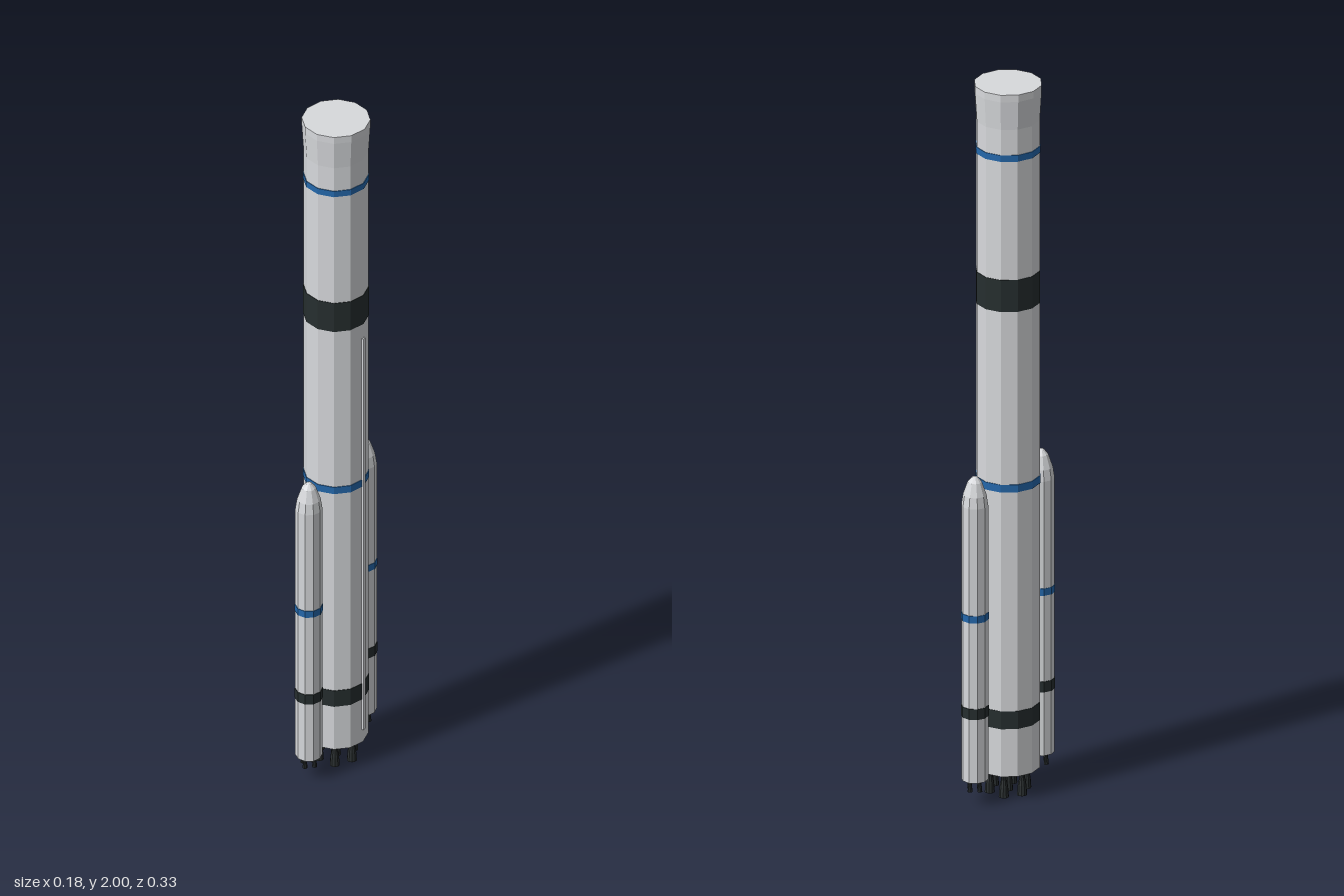
import * as THREE from 'three';

const flat = (name, color) => {
  const m = new THREE.MeshStandardMaterial({ color, flatShading: true });
  m.name = name;
  return m;
};

export function createModel() {
  const white = flat('hull white', 0xd8dadd);
  const blue = flat('stripe blue', 0x2468ac);
  const black = flat('band black', 0x262e2f);
  const dark = flat('engine dark', 0x2a2f30);

  const root = new THREE.Group();
  root.name = 'rocket';

  const add = (parent, name, geo, mat, x = 0, y = 0, z = 0) => {
    const m = new THREE.Mesh(geo, mat);
    m.name = name;
    m.position.set(x, y, z);
    parent.add(m);
    return m;
  };
  // Revolved solid from [radius, height] pairs, listed bottom to top
  const lathe = (pts, sides) =>
    new THREE.LatheGeometry(pts.map(([r, y]) => new THREE.Vector2(r, y)), sides);
  // Thin band wrapped around a hull
  const band = (parent, name, r, y0, y1, sides, mat) =>
    add(parent, name, new THREE.CylinderGeometry(r, r, y1 - y0, sides), mat, 0, (y0 + y1) / 2, 0);

  // Core stage with flared top
  const core = new THREE.Group();
  core.name = 'coreStage';
  root.add(core);
  add(core, 'coreHull', lathe([[0, 0.07], [0.085, 0.07], [0.085, 1.9], [0.09, 1.98], [0.09, 2], [0, 2]], 12), white);
  band(core, 'upperStripe', 0.0868, 1.81, 1.828, 12, blue);
  band(core, 'interstageBand', 0.0862, 1.385, 1.475, 12, black);
  band(core, 'middleStripe', 0.0868, 0.875, 0.896, 12, blue);
  band(core, 'lowerBand', 0.0862, 0.205, 0.255, 12, black);

  // Cable duct along the left side
  add(core, 'cableDuct', new THREE.BoxGeometry(0.012, 1.23, 0.01), white, 0.083, 0.725, 0);

  // Engine bell with a narrow neck, hanging from y = 0
  const bell = (r, h) => lathe([
    [0, -h * 0.9], [r, -h], [r * 0.85, -h * 0.6], [r * 0.55, -h * 0.3], [r * 0.5, 0], [0, 0],
  ], 10);

  // Seven core engines: one in the middle, six around it
  const coreBell = bell(0.0135, 0.07);
  add(core, 'coreEngine', coreBell, dark, 0, 0.07, 0);
  for (let i = 0; i < 6; i++) {
    const a = (i * Math.PI) / 3;
    add(core, 'coreEngine', coreBell, dark, 0.05 * Math.cos(a), 0.07, 0.05 * Math.sin(a));
  }

  // Two side boosters, front and back
  const hull = lathe([
    [0, 0.07], [0.0355, 0.07], [0.0355, 0.845], [0.031, 0.875], [0.019, 0.91], [0.008, 0.923], [0, 0.926],
  ], 10);
  const boosterBell = bell(0.0065, 0.032);
  for (const side of [1, -1]) {
    const booster = new THREE.Group();
    booster.name = side > 0 ? 'frontBooster' : 'backBooster';
    booster.position.z = side * 0.128;
    booster.rotation.y = side * Math.PI / 2;
    root.add(booster);
    add(booster, 'boosterHull', hull, white);
    band(booster, 'boosterStripe', 0.0368, 0.523, 0.543, 10, blue);
    band(booster, 'boosterBand', 0.0368, 0.25, 0.28, 10, black);
    for (let i = 0; i < 4; i++) {
      const a = (i * Math.PI) / 2;
      add(booster, 'boosterEngine', boosterBell, dark, 0.018 * Math.cos(a), 0.07, 0.018 * Math.sin(a));
    }
  }
  return root;
}
